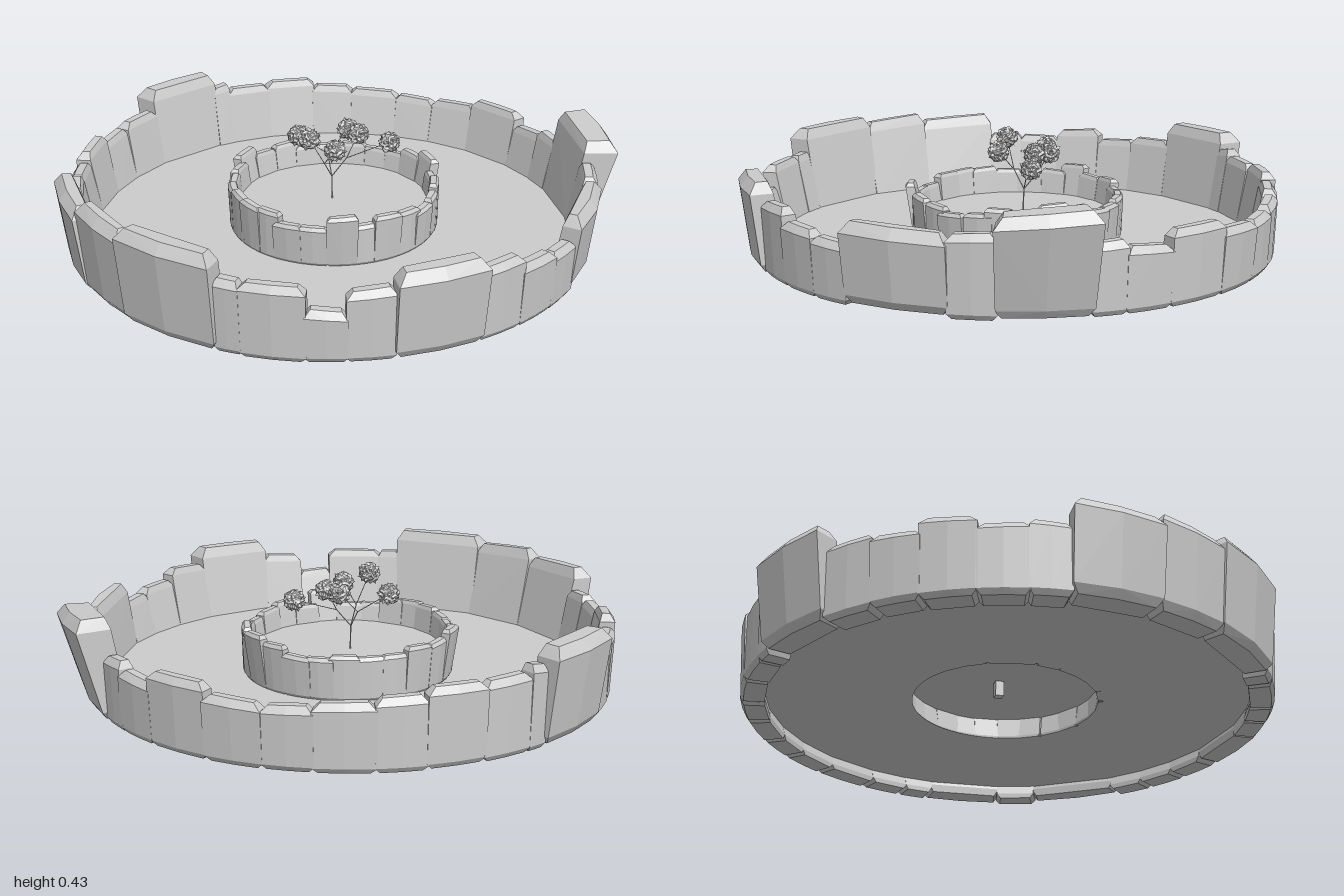
import * as THREE from 'three';
import { ConvexGeometry } from 'three/addons/geometries/ConvexGeometry.js';

const stone = new THREE.MeshStandardMaterial({ color: 0xcccccc });
stone.name = 'stone grey';
const floorGrey = new THREE.MeshStandardMaterial({ color: 0xcccccc, side: THREE.DoubleSide });
floorGrey.name = 'floor grey';

const FLOOR_Y = 0.052, BED_Y = 0.13;

let seed = 7;
const rand = () => (seed = (seed * 16807) % 2147483647) / 2147483647;
const jitter = (a) => (rand() - 0.5) * 2 * a;

function add(parent, geometry, name, material = stone) {
  const mesh = new THREE.Mesh(geometry, material);
  mesh.name = name;
  parent.add(mesh);
  return mesh;
}

// Chipped block following an arc: radii [inner, outer] at the bottom and at the top
function rock(a0, a1, y0, y1, bottom, top, bevel) {
  const points = [];
  // keeps the flat inner face of a wide block close to the arc
  const half = THREE.MathUtils.degToRad((a1 - a0) / 2);
  const flat = 1 + (1 / Math.cos(half) - 1) * 0.7;
  const slice = (y, inner, outer, inset, tilt = 0) => {
    const s = a0 + inset, e = a1 - inset;
    [s, (s + e) / 2, e].forEach((deg, i) => {
      const a = THREE.MathUtils.degToRad(deg), yy = y + (i - 1) * tilt;
      for (const r of [Math.min(inner * flat, outer - 0.01), outer])
        points.push(new THREE.Vector3(Math.cos(a) * r, yy, Math.sin(a) * r));
    });
  };
  const inset = Math.min(1.6, (a1 - a0) * 0.14), tilt = jitter(bevel * 0.2);
  slice(y0, bottom[0], bottom[1] - bevel * 0.5, inset * 0.7);
  slice(y0 + bevel * 0.7, bottom[0], bottom[1], 0);
  slice(y1 - bevel * 1.1, top[0], top[1], 0, tilt);
  slice(y1 - bevel * 0.15, top[0] + bevel * 0.3, top[1] - bevel * 0.7, inset, tilt);
  return new ConvexGeometry(points);
}

// Outer wall: start angle, end angle, height, then top outer radius and thickness of boulders
const OUTER = [
  [-5, 13.5, 0.36, 1.025, 0.13], [13.5, 23, 0.28], [23, 45, 0.285, 0.955, 0.08], [45, 54, 0.21],
  [54, 64, 0.23], [64, 74.5, 0.27], [74.5, 92.5, 0.325, 0.975, 0.09], [92.5, 102, 0.26],
  [102, 110, 0.19], [110, 123, 0.27], [123, 128, 0.27], [128, 150, 0.36, 0.975, 0.09],
  [150, 166, 0.345, 0.965, 0.07], [166, 184, 0.33, 0.977, 0.08], [184, 192, 0.26], [192, 202, 0.25],
  [202, 213, 0.28], [213, 223, 0.25], [223, 234, 0.27], [234, 253, 0.345, 0.98, 0.1],
  [253, 257, 0.29], [257, 268, 0.27], [268, 280, 0.275], [280, 290, 0.25],
  [290, 302, 0.235], [302, 312, 0.22], [312, 324, 0.225], [324, 338, 0.26],
  [338, 348, 0.22], [348, 355, 0.245],
];

// Leafy clump: icosphere roughened by a position rule
function leafBall(radius) {
  const geo = new THREE.IcosahedronGeometry(radius, 4);
  const p = geo.attributes.position, v = new THREE.Vector3();
  for (let i = 0; i < p.count; i++) {
    v.fromBufferAttribute(p, i);
    const n = v.clone().multiplyScalar(12 / radius);
    const bump = Math.sin(n.x) * Math.sin(n.y + 1) + Math.sin(n.z * 1.1) * Math.cos(n.x * 0.8);
    v.multiplyScalar(0.93 + 0.15 * bump);
    p.setXYZ(i, v.x, v.y, v.z);
  }
  geo.computeVertexNormals();
  return geo;
}

// Tapered limb between two points
function limb(parent, from, to, r0, r1, name) {
  const dir = to.clone().sub(from);
  const mesh = add(parent, new THREE.CylinderGeometry(r1, r0, dir.length(), 6), name);
  mesh.position.copy(from).addScaledVector(dir, 0.5);
  mesh.quaternion.setFromUnitVectors(new THREE.Vector3(0, 1, 0), dir.normalize());
}

export function createModel() {
  const model = new THREE.Group();
  model.name = 'walledGarden';

  const rings = new THREE.Group();
  rings.name = 'rings';
  rings.position.set(-0.025, 0, -0.02);
  model.add(rings);

  // Outer boulder wall
  const outerWall = new THREE.Group();
  outerWall.name = 'outerWall';
  rings.add(outerWall);
  for (const [a0, a1, h, big, thick = 0.056] of OUTER) {
    const ro = big ?? 0.937 + jitter(0.006);
    const base = big ? Math.min(0.945, ro - 0.025) : 0.928;
    add(outerWall, rock(a0 - 0.2, a1 + 0.2, big ? 0.012 : rand() * 0.006, h,
      [0.84, base], [ro - thick, ro], big ? 0.04 : 0.026), big ? 'boulder' : 'wallStone');
  }

  // Inner planter wall
  const innerWall = new THREE.Group();
  innerWall.name = 'innerWall';
  innerWall.position.set(0.01, 0, -0.01);
  rings.add(innerWall);
  const count = 26, step = 360 / count;
  for (let i = 0; i < count; i++) {
    const a = i * step - 2 + jitter(1.5);
    const big = i === 7 || i === 16 || i === 25;
    const h = big ? 0.245 : 0.21 + jitter(0.022);
    const ro = big ? 0.4 : 0.383 + jitter(0.006);
    add(innerWall, rock(a - 1, a + step + 1, FLOOR_Y, h,
      [0.329, 0.375], [ro - 0.035, ro], 0.013), 'planterStone');
  }

  // Ground ring and raised planter bed
  const ground = add(rings, new THREE.RingGeometry(0.335, 0.88, 64, 1), 'groundRing', floorGrey);
  ground.rotation.x = -Math.PI / 2;
  ground.position.y = FLOOR_Y;
  const bed = add(innerWall, new THREE.CircleGeometry(0.35, 48), 'planterBed', floorGrey);
  bed.rotation.x = -Math.PI / 2;
  bed.position.y = BED_Y;

  // Tree: trunk, forked branches and leaf clumps
  const tree = new THREE.Group();
  tree.name = 'tree';
  model.add(tree);
  const root = new THREE.Vector3(-0.015, 0.1, -0.05);
  const fork = new THREE.Vector3(-0.015, 0.215, -0.055);
  limb(tree, root, fork, 0.003, 0.002, 'trunk');
  const foot = add(tree, new THREE.BoxGeometry(0.03, 0.055, 0.03), 'trunkFoot');
  foot.position.set(root.x, BED_Y - 0.03, root.z);

  const forks = [
    { at: [-0.015, 0.28, -0.11], balls: [[-0.115, 0.345, -0.155], [0.065, 0.36, -0.13]] },
    { at: [0.04, 0.28, -0.055], balls: [[0.088, 0.362, -0.072], [0.195, 0.33, -0.04]] },
    { at: [-0.05, 0.28, -0.025], balls: [[-0.11, 0.388, -0.01], [-0.028, 0.352, 0.035]] },
  ];
  for (const { at, balls } of forks) {
    const joint = new THREE.Vector3(...at);
    limb(tree, fork, joint, 0.002, 0.0016, 'branch');
    for (const b of balls) {
      const tip = new THREE.Vector3(...b);
      limb(tree, joint, tip, 0.0016, 0.0012, 'twig');
      const ball = add(tree, leafBall(0.038), 'leafClump');
      ball.position.copy(tip);
      ball.rotation.set(rand() * 6, rand() * 6, 0);
    }
  }
  return model;
}
